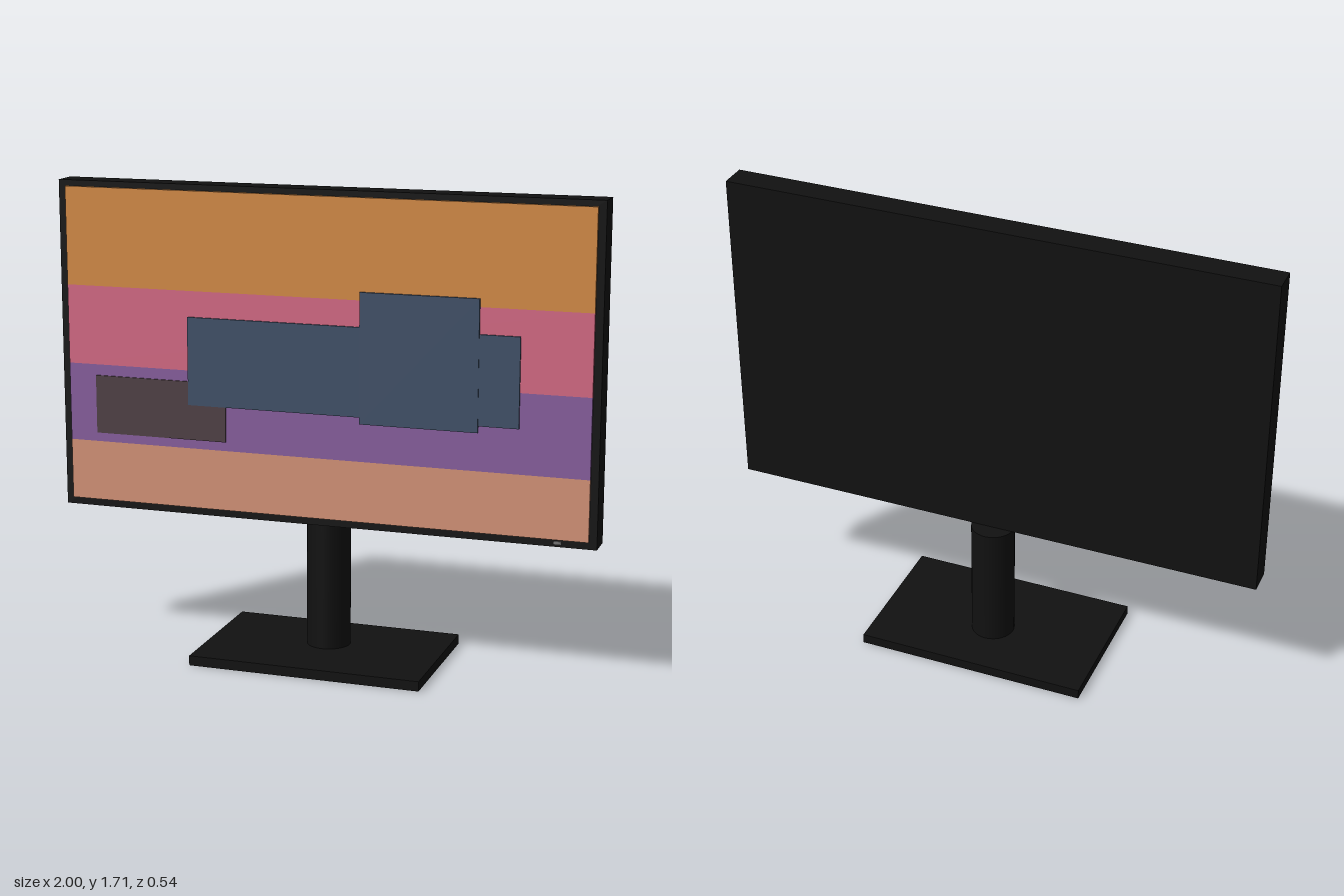
import * as THREE from 'three';

const paint = (name, color) => {
  const m = new THREE.MeshStandardMaterial({ color });
  m.name = name;
  return m;
};

export function createModel() {
  const model = new THREE.Group();
  model.name = 'monitor';

  const black = paint('black plastic', 0x111111);
  const orange = paint('orange', 0xd68b45);
  const pink = paint('pink', 0xd66a85);
  const purple = paint('purple', 0x885f9f);
  const peach = paint('peach', 0xd69478);
  const slate = paint('slate blue', 0x405069);
  const brown = paint('dark brown', 0x504045);
  const grey = paint('light grey', 0x777777);

  // Box given by its limits on each axis
  const box = (name, material, [x0, x1], [y0, y1], [z0, z1], parent = model) => {
    const mesh = new THREE.Mesh(new THREE.BoxGeometry(x1 - x0, y1 - y0, z1 - z0), material);
    mesh.position.set((x0 + x1) / 2, (y0 + y1) / 2, (z0 + z1) / 2);
    mesh.name = name;
    parent.add(mesh);
    return mesh;
  };

  // Stand
  box('base', black, [-0.43, 0.43], [0, 0.036], [-0.27, 0.27]);
  const pole = new THREE.Mesh(new THREE.CylinderGeometry(0.08, 0.08, 0.466, 32), black);
  pole.position.set(0, 0.269, -0.035);
  pole.name = 'pole';
  model.add(pole);

  // Casing and power light
  box('casing', black, [-1, 1], [0.503, 1.71], [-0.05, 0.05]);
  box('powerLight', grey, [0.848, 0.876], [0.512, 0.524], [0.05, 0.056]);

  // Picture: four bands of sky and ground
  const screen = new THREE.Group();
  screen.name = 'screen';
  model.add(screen);
  const bands = [
    ['upperSky', orange, 1.33, 1.688],
    ['middleSky', pink, 1.04, 1.33],
    ['lowerSky', purple, 0.752, 1.04],
    ['ground', peach, 0.53, 0.752],
  ];
  for (const [name, material, y0, y1] of bands) {
    box(name, material, [-0.972, 0.972], [y0, y1], [0.05, 0.059], screen);
  }

  // Flat shapes in front of the bands
  box('rock', brown, [-0.866, -0.36], [0.785, 1.0], [0.059, 0.064], screen);
  box('wideBlock', slate, [-0.503, 0.72], [0.914, 1.236], [0.059, 0.066], screen);
  box('tallBlock', slate, [0.145, 0.575], [0.89, 1.36], [0.059, 0.068], screen);

  return model;
}
